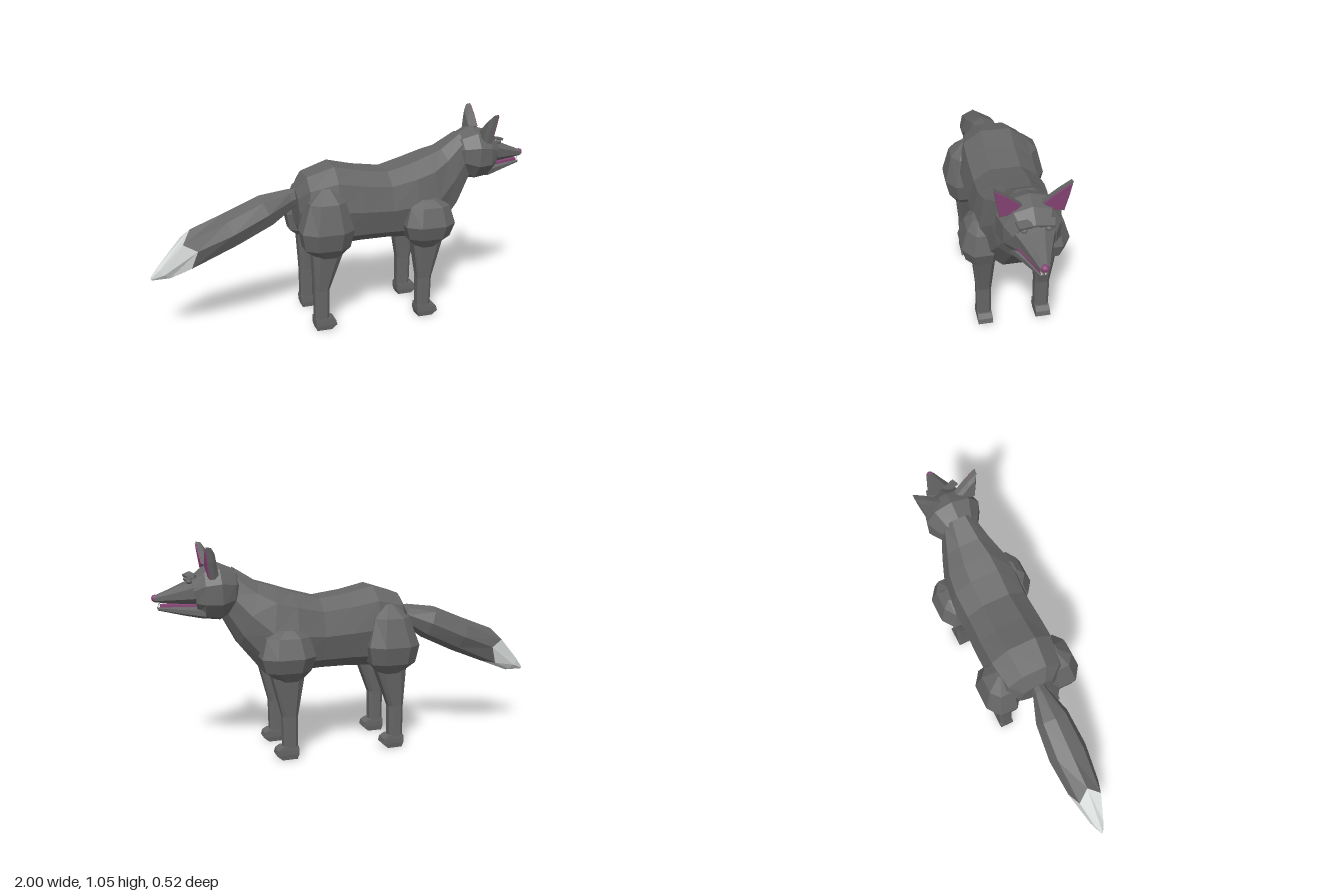
import * as THREE from 'three';

const mat = (name, color, side = THREE.FrontSide) => {
  const m = new THREE.MeshStandardMaterial({ color, side, flatShading: true });
  m.name = name;
  return m;
};

// Skin a list of rings (arrays of [x, y, z]) and close both ends
function skin(rings) {
  const n = rings[0].length, pos = [];
  const tri = (a, b, c) => pos.push(...a, ...b, ...c);
  const centre = (r) => [0, 1, 2].map((k) => r.reduce((s, p) => s + p[k], 0) / n);
  const first = rings[0], last = rings[rings.length - 1];
  const c0 = centre(first), c1 = centre(last);
  for (let j = 0; j < n; j++) {
    const k = (j + 1) % n;
    for (let i = 0; i < rings.length - 1; i++) {
      const a = rings[i], b = rings[i + 1];
      tri(a[j], a[k], b[j]);
      tri(a[k], b[k], b[j]);
    }
    tri(c0, first[k], first[j]);
    tri(c1, last[j], last[k]);
  }
  const g = new THREE.BufferGeometry();
  g.setAttribute('position', new THREE.Float32BufferAttribute(pos, 3));
  g.computeVertexNormals();
  return g;
}

// Unit polygon, offset half a step gives flat top and bottom; p < 1 squares it off
function unit(n, half, p) {
  const pw = (v) => Math.sign(v) * Math.pow(Math.abs(v), p);
  const max = half ? Math.cos(Math.PI / n) : 1;
  const maxS = half && n % 4 === 0 ? Math.cos(Math.PI / n) : 1;
  return Array.from({ length: n }, (_, i) => {
    const a = ((i + (half ? 0.5 : 0)) * 2 * Math.PI) / n;
    return [pw(Math.cos(a) / max), pw(Math.sin(a) / maxS)];
  });
}

// Rows running towards +x: [topX, topY, bottomX, bottomY, halfWidth, zigzag]
const along = (rows, n, half = false, p = 1) => skin(rows.map(([tx, ty, bx, by, w, jag = 0]) =>
  unit(n, half, p).map(([c, s], i) => {
    const d = (i % 2 ? -1 : 1) * jag;
    return [(tx + bx) / 2 + ((tx - bx) / 2) * c + d, (ty + by) / 2 + ((ty - by) / 2) * c + d * 0.6, w * s];
  })));

// Rows running downwards: [y, x, halfX, z, halfZ]
const down = (rows, n, side, p = 0.8) => skin(rows.map(([y, x, hx, z, hz]) =>
  unit(n, true, p).map(([c, s]) => [x + hx * c, y, z * side + hz * s])));

export function createModel() {
  const fox = new THREE.Group();
  const grey = mat('grey fur', 0x666666);
  const white = mat('pale tip', 0xd9dddb);
  const pink = mat('plum skin', 0x8a4678, THREE.DoubleSide);
  const add = (name, geo, m = grey) => {
    const mesh = new THREE.Mesh(geo, m);
    mesh.name = name;
    fox.add(mesh);
    return mesh;
  };

  // Torso and neck
  add('body', along([
    [-0.27, 0.71, -0.26, 0.52, 0.09], [-0.22, 0.785, -0.23, 0.45, 0.165],
    [-0.08, 0.83, -0.1, 0.42, 0.19], [0.05, 0.8, 0.05, 0.43, 0.19],
    [0.2, 0.78, 0.2, 0.43, 0.185], [0.33, 0.815, 0.34, 0.42, 0.19],
    [0.42, 0.845, 0.48, 0.42, 0.175], [0.5, 0.87, 0.6, 0.57, 0.135],
    [0.61, 0.94, 0.67, 0.7, 0.09],
  ], 10, true, 0.8));

  // Tail with a zigzag pale tip
  const seam = [-0.82, 0.54, -0.77, 0.36, 0.083, 0.025];
  add('tail', along([
    seam, [-0.63, 0.62, -0.56, 0.45, 0.1], [-0.45, 0.695, -0.38, 0.535, 0.085],
    [-0.3, 0.715, -0.28, 0.61, 0.04], [-0.22, 0.715, -0.22, 0.66, 0.028],
  ], 8));
  add('tailTip', along([
    [-1, 0.325, -0.995, 0.31, 0.006], [-0.965, 0.375, -0.9, 0.312, 0.035], seam,
  ], 8), white);

  // Head, upper snout and lower jaw
  add('head', along([
    [0.58, 0.91, 0.6, 0.76, 0.075], [0.61, 0.935, 0.62, 0.73, 0.11],
    [0.69, 0.97, 0.68, 0.69, 0.148], [0.76, 0.95, 0.76, 0.7, 0.13],
    [0.82, 0.9, 0.79, 0.73, 0.098],
  ], 10, false, 0.9));
  add('snout', along([
    [0.78, 0.905, 0.78, 0.775, 0.1], [0.84, 0.878, 0.84, 0.778, 0.072],
    [0.92, 0.845, 0.92, 0.784, 0.042], [0.985, 0.82, 0.985, 0.79, 0.02],
  ], 8, true, 0.9));
  add('lowerJaw', along([
    [0.76, 0.77, 0.76, 0.705, 0.095], [0.85, 0.765, 0.85, 0.722, 0.055],
    [0.975, 0.765, 0.97, 0.75, 0.014],
  ], 8, true, 0.9));
  add('mouth', along([
    [0.79, 0.778, 0.79, 0.769, 0.075], [0.96, 0.778, 0.96, 0.766, 0.014],
  ], 4, true), pink);
  add('nose', new THREE.IcosahedronGeometry(0.018, 1), pink).position.set(0.982, 0.808, 0);

  for (const side of [1, -1]) {
    const label = side > 0 ? 'left' : 'right';

    // Fangs, upper and lower
    add(label + 'UpperFang', new THREE.ConeGeometry(0.005, 0.022, 4).rotateX(Math.PI), white)
      .position.set(0.965, 0.782, 0.014 * side);
    add(label + 'LowerFang', new THREE.ConeGeometry(0.004, 0.02, 4), white)
      .position.set(0.968, 0.773, 0.008 * side);

    // Eye and brow ridge
    const eye = add(label + 'Eye', new THREE.IcosahedronGeometry(0.015, 1));
    eye.position.set(0.828, 0.887, 0.052 * side);
    eye.scale.y = 0.75;
    const brow = add(label + 'Brow', new THREE.BoxGeometry(0.04, 0.012, 0.065));
    brow.position.set(0.815, 0.905, 0.048 * side);
    brow.rotation.set(0.12 * -side, 0.3 * side, -0.3);

    // Ear: outline in z, y, given a thickness in x that leans forward with height
    const outline = [[0.165, 1.055], [0.155, 0.985], [0.138, 0.9], [0.085, 0.91], [0.042, 0.955], [0.11, 1.015]];
    const ring = (x, k) => {
      const r = outline.map(([z, y]) => [
        x + (y - 0.9) * 0.12, 0.96 + (y - 0.96) * k, (0.115 + (z - 0.115) * k) * side]);
      return side > 0 ? r : r.reverse();
    };
    add(label + 'Ear', skin([ring(0.7, 0.65), ring(0.718, 0.95), ring(0.742, 1)]));
    add(label + 'InnerEar', skin([ring(0.741, 0.92), ring(0.747, 0.9)]), pink);

    // Haunches, legs and feet
    add(label + 'RearThigh', down([
      [0.745, -0.14, 0.025, 0.14, 0.02], [0.68, -0.145, 0.09, 0.15, 0.075],
      [0.54, -0.15, 0.132, 0.165, 0.095], [0.45, -0.15, 0.115, 0.16, 0.08],
      [0.4, -0.14, 0.06, 0.155, 0.05],
    ], 8, side));
    add(label + 'FrontShoulder', down([
      [0.65, 0.385, 0.045, 0.15, 0.045], [0.615, 0.39, 0.105, 0.16, 0.07],
      [0.52, 0.39, 0.132, 0.165, 0.095], [0.45, 0.39, 0.11, 0.16, 0.08],
      [0.4, 0.38, 0.055, 0.155, 0.05],
    ], 8, side));
    for (const [name, x, topX] of [['Rear', -0.175, -0.14], ['Front', 0.38, 0.39]]) {
      add(label + name + 'Leg', down([
        [0.45, topX, 0.085, 0.15, 0.055], [0.22, x, 0.038, 0.148, 0.037],
        [0.05, x, 0.036, 0.148, 0.036],
      ], 8, side, 0.6));
      add(label + name + 'Foot', down([
        [0.065, x + 0.003, 0.04, 0.148, 0.036], [0.05, x + 0.015, 0.053, 0.148, 0.037],
        [0.025, x + 0.018, 0.056, 0.148, 0.037], [0, x + 0.008, 0.038, 0.148, 0.033],
      ], 4, side));
    }
  }
  return fox;
}
